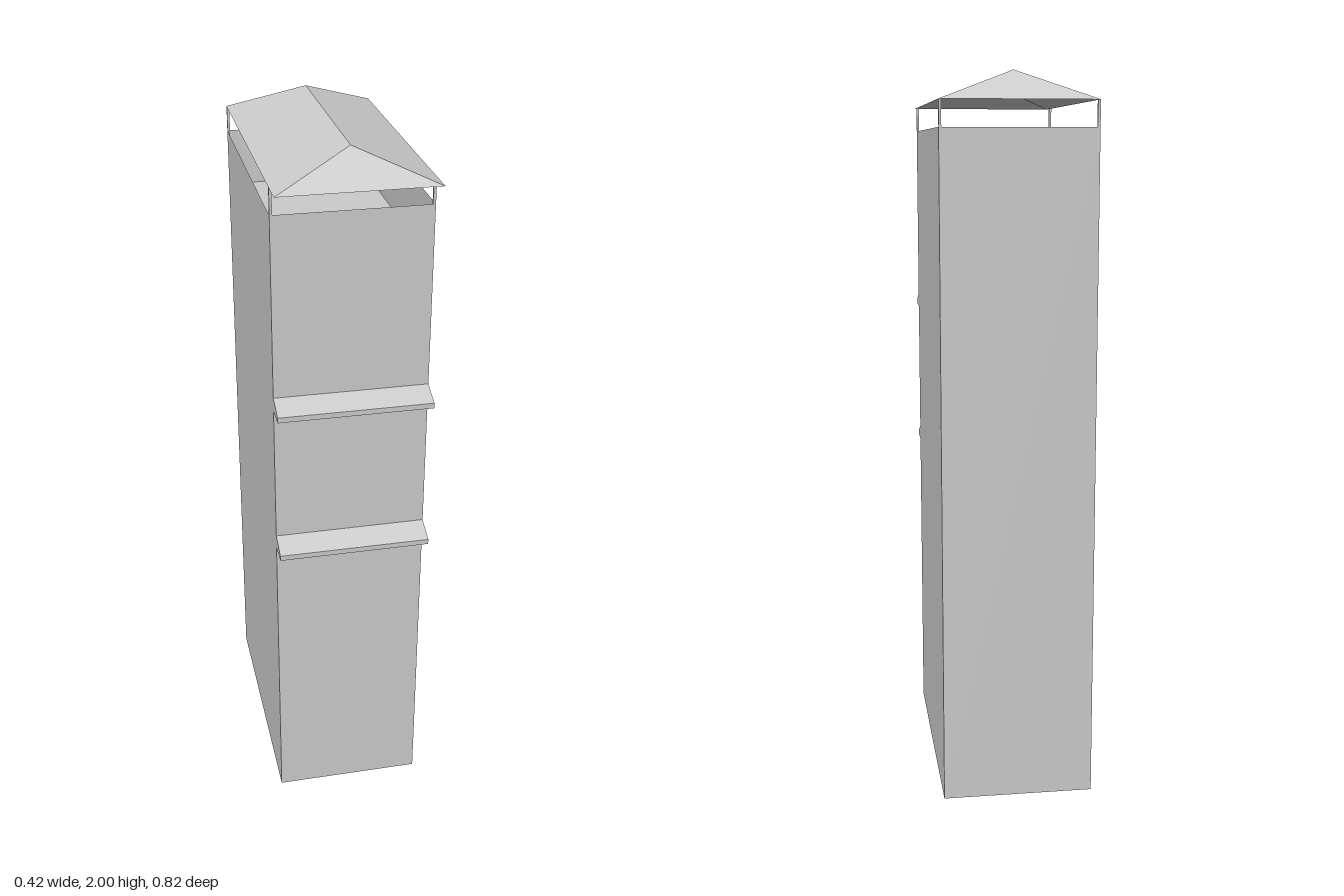
import * as THREE from 'three';

const W = 0.21, FRONT = 0.335, BACK = -0.41;
const WALL_TOP = 1.85, FLOOR = 1.69, EAVE = 1.92, RIDGE = 2;

export function createModel() {
  const model = new THREE.Group();
  const mat = new THREE.MeshStandardMaterial({ color: 0xcccccc, flatShading: true, side: THREE.DoubleSide });
  const add = (name, geometry, x = 0, y = 0, z = 0) => {
    const mesh = new THREE.Mesh(geometry, mat);
    mesh.name = name;
    mesh.position.set(x, y, z);
    model.add(mesh);
    return mesh;
  };
  const depth = FRONT - BACK, midZ = (FRONT + BACK) / 2;

  // Thin outer walls, open below and rising past the roof deck as a parapet
  add('frontWall', new THREE.PlaneGeometry(2 * W, WALL_TOP), 0, WALL_TOP / 2, FRONT);
  add('backWall', new THREE.PlaneGeometry(2 * W, WALL_TOP).rotateY(Math.PI), 0, WALL_TOP / 2, BACK);
  for (const s of [-1, 1]) {
    add(s > 0 ? 'leftWall' : 'rightWall',
      new THREE.PlaneGeometry(depth, WALL_TOP).rotateY(s * Math.PI / 2), s * W, WALL_TOP / 2, midZ);
  }

  // Roof deck sunk behind the parapet
  add('roofDeck', new THREE.PlaneGeometry(2 * W, depth).rotateX(-Math.PI / 2), 0, FLOOR, midZ);

  // Slender corner posts carrying the canopy
  const post = 0.007, postHeight = EAVE - FLOOR;
  for (const x of [-W + post / 2, W - post / 2]) {
    for (const z of [FRONT - post / 2, BACK + post / 2]) {
      add('canopyPost', new THREE.BoxGeometry(post, postHeight, post), x, FLOOR + postHeight / 2, z);
    }
  }

  // Sloped ledges across the front: profile drawn in (z, y), extruded along x
  const profile = new THREE.Shape();
  profile.moveTo(0, 0);
  profile.lineTo(0.065, 0);
  profile.lineTo(0.065, 0.015);
  profile.lineTo(0, 0.04);
  const ledge = new THREE.ExtrudeGeometry(profile, { depth: 2 * W, bevelEnabled: false })
    .translate(0, 0, -W).rotateY(-Math.PI / 2);
  for (const y of [0.88, 1.31]) add('frontLedge', ledge, 0, y, FRONT);

  // Hipped canopy roof, open underneath
  const zf = 0.41, zb = -0.413;
  const roof = new THREE.BufferGeometry();
  roof.setAttribute('position', new THREE.Float32BufferAttribute([
    -W, EAVE, zf, W, EAVE, zf, W, EAVE, zb, -W, EAVE, zb,
    0, RIDGE, 0.295, 0, RIDGE, -0.288,
  ], 3));
  roof.setIndex([0, 1, 4, 1, 2, 5, 1, 5, 4, 2, 3, 5, 3, 0, 4, 3, 4, 5]);
  const flatRoof = roof.toNonIndexed();
  flatRoof.computeVertexNormals();
  add('hippedRoof', flatRoof);

  return model;
}
